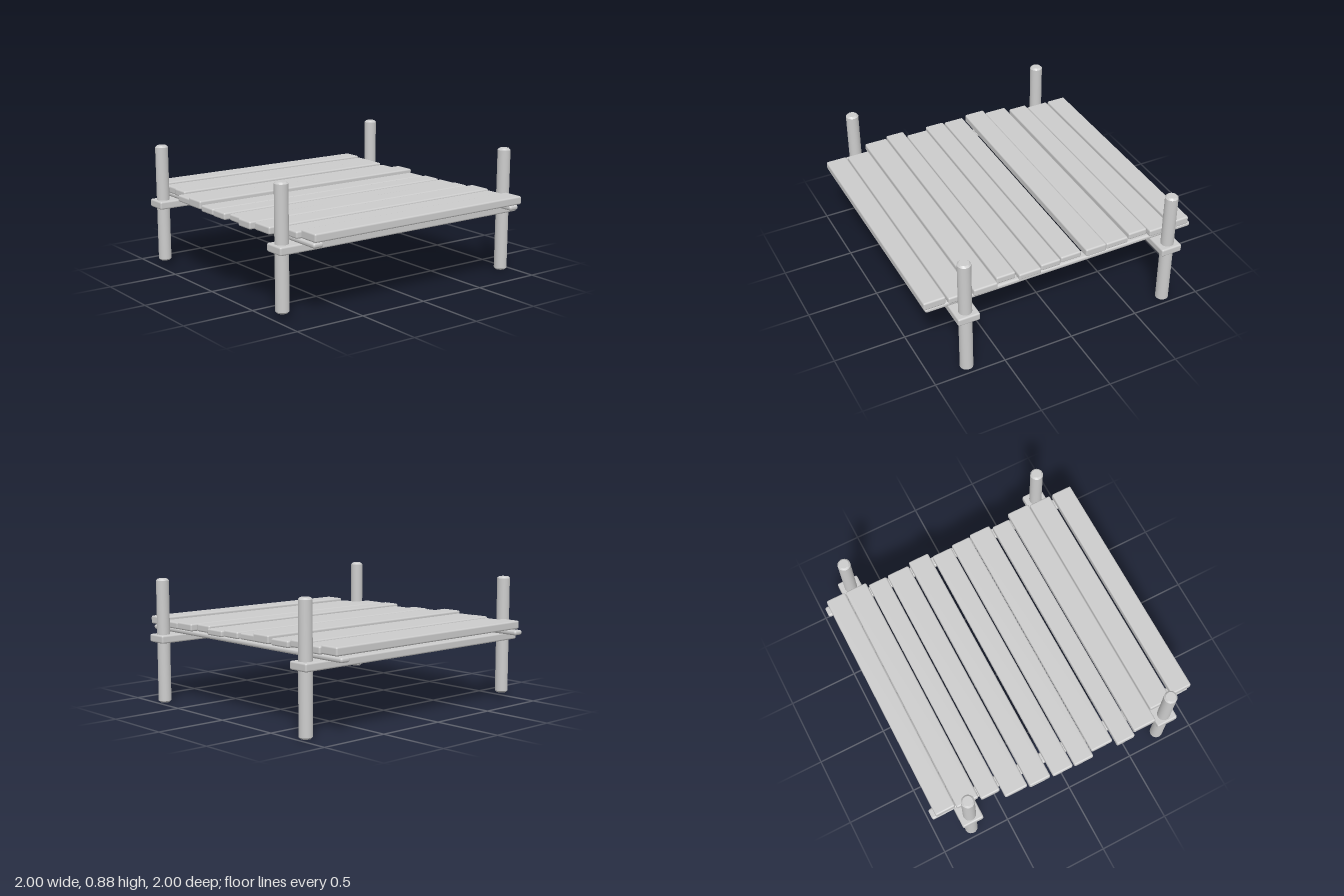
import * as THREE from 'three';
import { RoundedBoxGeometry } from 'three/addons/geometries/RoundedBoxGeometry.js';
import { toCreasedNormals } from 'three/addons/utils/BufferGeometryUtils.js';

const material = new THREE.MeshStandardMaterial({ color: 0xcccccc });

// Softened timber spanning the given bounds on each axis
function timber(name, [x0, x1], [y0, y1], [z0, z1], radius) {
  const geometry = new RoundedBoxGeometry(x1 - x0, y1 - y0, z1 - z0, 2, radius);
  const mesh = new THREE.Mesh(geometry, material);
  mesh.position.set((x0 + x1) / 2, (y0 + y1) / 2, (z0 + z1) / 2);
  mesh.name = name;
  return mesh;
}

// Round post with chamfered ends
function post(x, z, bottom, top) {
  const r = 0.045, c = 0.012;
  const profile = [
    [0, bottom], [r - c, bottom], [r, bottom + c],
    [r, top - c], [r - c, top], [0, top],
  ].map(([a, b]) => new THREE.Vector2(a, b));
  const geometry = toCreasedNormals(new THREE.LatheGeometry(profile, 24), 0.6);
  const mesh = new THREE.Mesh(geometry, material);
  mesh.position.set(x, 0, z);
  mesh.name = 'post';
  return mesh;
}

export function createModel() {
  const model = new THREE.Group();
  model.name = 'plankPlatform';

  // Posts and the crossbeams they pass through
  for (const z of [0.749, -0.758]) {
    model.add(post(-0.938, z, 0.04, 0.875));
    model.add(post(0.936, z, 0, 0.875));
    model.add(timber('crossbeam', [-1, 1], [0.428, 0.484], [z - 0.077, z + 0.077], 0.012));
  }

  // Runners under the deck
  for (const [x0, x1] of [[-0.865, -0.788], [0.782, 0.858]]) {
    model.add(timber('runner', [x0, x1], [0.488, 0.522], [-0.995, 0.985], 0.015));
  }

  // Deck planks, back to front: left end, right end, back edge, front edge, bottom, top
  const planks = [
    [-0.865, 0.87, -0.967, -0.822, 0.527, 0.585],
    [-0.88, 0.875, -0.818, -0.656, 0.521, 0.573],
    [-0.905, 0.847, -0.648, -0.508, 0.53, 0.58],
    [-0.963, 0.856, -0.497, -0.33, 0.521, 0.568],
    [-0.98, 0.87, -0.32, -0.165, 0.527, 0.585],
    [-0.985, 0.842, -0.145, 0.007, 0.52, 0.565],
    [-0.99, 0.855, 0.017, 0.162, 0.52, 0.568],
    [-0.955, 0.87, 0.168, 0.33, 0.517, 0.562],
    [-0.998, 0.843, 0.342, 0.48, 0.523, 0.575],
    [-0.97, 0.886, 0.49, 0.66, 0.523, 0.575],
    [-0.885, 0.877, 0.667, 0.832, 0.52, 0.568],
    [-0.865, 0.87, 0.847, 1, 0.527, 0.585],
  ];
  for (const [x0, x1, z0, z1, y0, y1] of planks) {
    model.add(timber('deckPlank', [x0, x1], [y0, y1], [z0, z1], 0.012));
  }
  return model;
}
